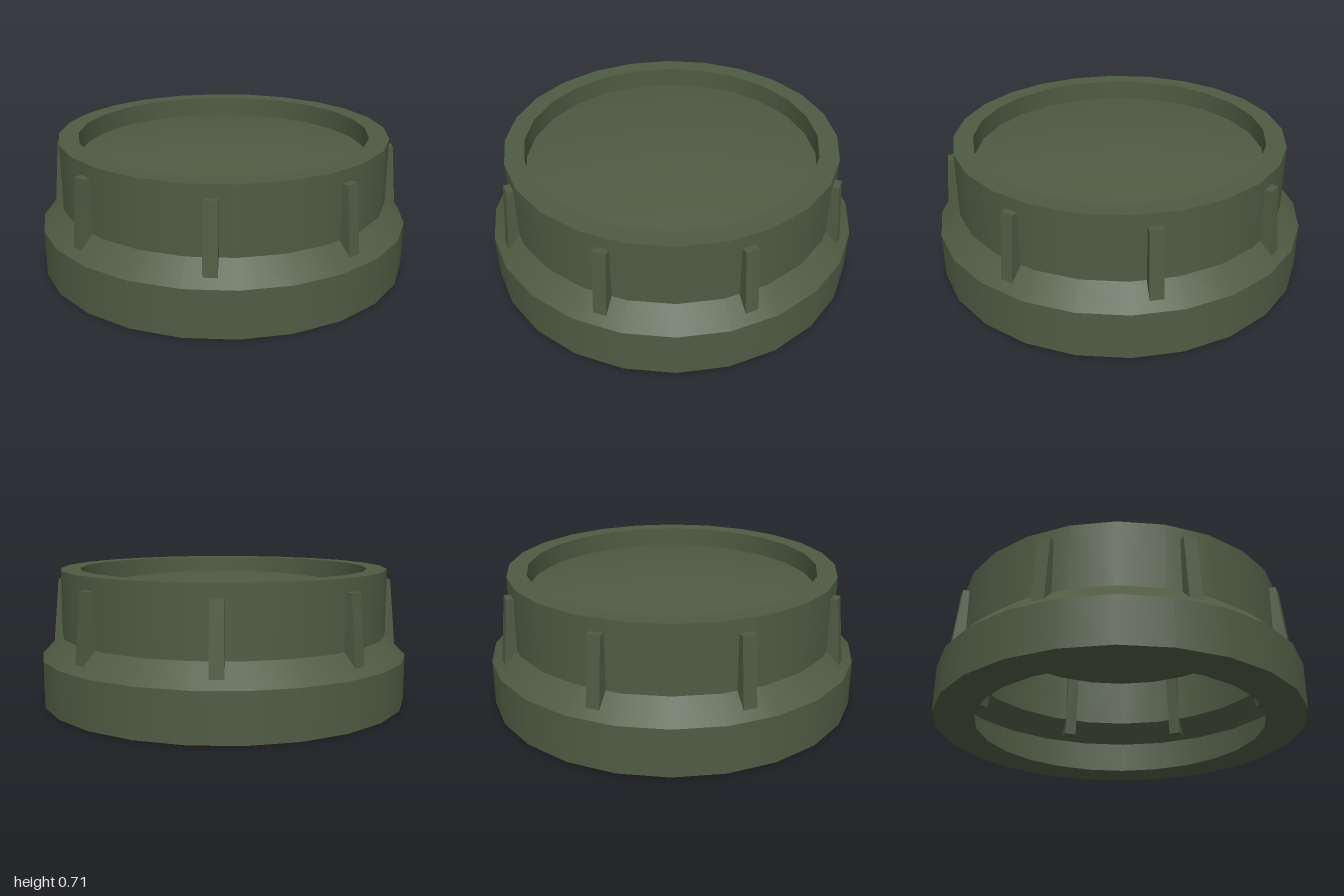
import * as THREE from 'three';

const SIDES = 24;
const RIBS = 8;

export function createModel() {
  const model = new THREE.Group();
  const green = new THREE.MeshStandardMaterial({ color: 0x4f5b43, side: THREE.DoubleSide });
  green.name = 'olive green';

  // Shallow dome closing the recess, from its edge up to the centre
  const dome = [];
  for (let i = 0; i <= 8; i++) {
    const t = 1 - i / 8;
    dome.push([0.785 * t, 0.605 + 0.075 * (1 - t * t)]);
  }

  // Each band is lathed on its own, smooth around and sharp between bands
  const bands = {
    baseRing: [[0.785, 0], [1, 0]],
    skirt: [[1, 0], [1, 0.25]],
    shoulder: [[1, 0.25], [0.89, 0.36]],
    collar: [[0.89, 0.36], [0.89, 0.715]],
    rim: [[0.89, 0.715], [0.785, 0.715]],
    recessWall: [[0.785, 0.715], [0.785, 0.605]],
    recessDome: dome,
  };
  for (const [name, profile] of Object.entries(bands)) {
    const points = profile.map(([r, y]) => new THREE.Vector2(r, y));
    const mesh = new THREE.Mesh(new THREE.LatheGeometry(points, SIDES), green);
    mesh.name = name;
    model.add(mesh);
  }

  // Leaning grip ribs that pass through the collar wall
  const side = new THREE.Shape([
    new THREE.Vector2(0.89, 0.265),
    new THREE.Vector2(0.954, 0.265),
    new THREE.Vector2(0.917, 0.647),
    new THREE.Vector2(0.855, 0.647),
  ]);
  const ribGeometry = new THREE.ExtrudeGeometry(side, { depth: 0.07, bevelEnabled: false });
  ribGeometry.translate(0, 0, -0.035);
  for (let i = 0; i < RIBS; i++) {
    const rib = new THREE.Mesh(ribGeometry, green);
    rib.name = 'gripRib';
    rib.rotation.y = ((i + 0.5) / RIBS) * Math.PI * 2;
    model.add(rib);
  }
  return model;
}
